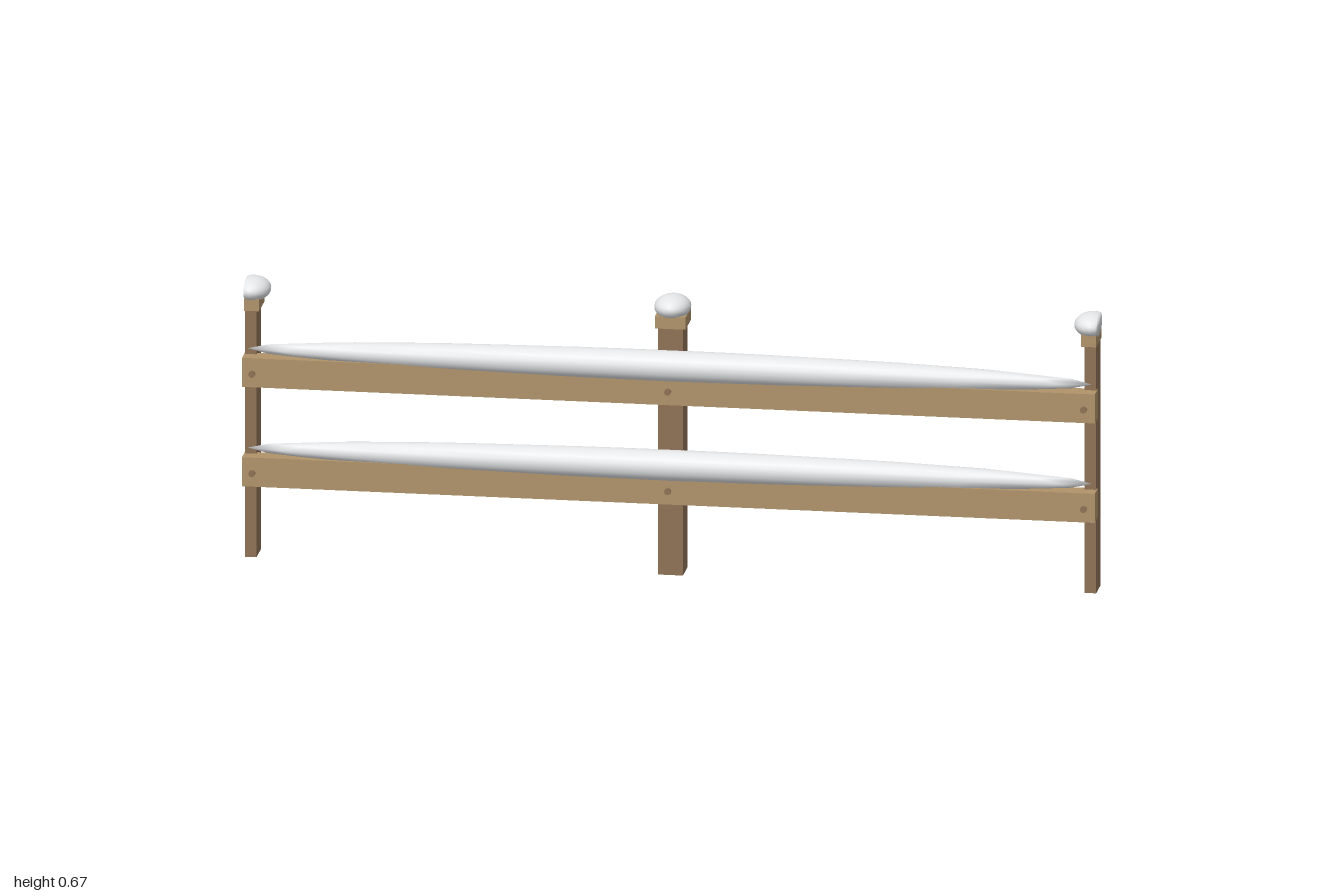
import * as THREE from 'three';

const colour = (name, hex) => {
  const m = new THREE.MeshStandardMaterial({ color: hex });
  m.name = name;
  return m;
};

export function createModel() {
  const model = new THREE.Group();
  model.name = 'snowyFence';
  const postWood = colour('post wood', 0x8f7155);
  const railWood = colour('rail wood', 0xb0936a);
  const snow = colour('snow', 0xe6e8ea);

  const add = (name, geometry, material) => {
    const mesh = new THREE.Mesh(geometry, material);
    mesh.name = name;
    model.add(mesh);
  };
  // Box given by its limits on each axis
  const block = (x0, x1, y0, y1, z0, z1) =>
    new THREE.BoxGeometry(x1 - x0, y1 - y0, z1 - z0)
      .translate((x0 + x1) / 2, (y0 + y1) / 2, (z0 + z1) / 2);
  // Snow mound, flattened where it meets the ends of the fence section
  const mound = (x, y, z, rx, ry, rz, across, up) => {
    const g = new THREE.SphereGeometry(1, across, up).scale(rx, ry, rz).translate(x, y, z);
    const p = g.attributes.position;
    for (let i = 0; i < p.count; i++) p.setX(i, THREE.MathUtils.clamp(p.getX(i), -1, 1));
    g.computeBoundingSphere();
    return g;
  };

  // Posts, with the two end posts cut in half at the section ends
  [['right', -1], ['middle', 0], ['left', 1]].forEach(([side, s]) => {
    const limits = (half, end) => [Math.max(s - half, -end), Math.min(s + half, end)];
    add(side + 'Post', block(...limits(0.029, 0.998), 0, 0.6, -0.048, 0.02), postWood);
    add(side + 'PostCap', block(...limits(0.036, 0.999), 0.596, 0.625, -0.055, 0.027), railWood);
    add(side + 'CapSnow', mound(s * 0.985, 0.64, -0.014, 0.043, 0.028, 0.054, 20, 12), snow);
  });

  // Rails with long drifts of snow and a bolt at each post
  [['lower', 0.18], ['upper', 0.42]].forEach(([level, y]) => {
    add(level + 'Rail', block(-1, 1, y, y + 0.07, 0.007, 0.054), railWood);
    add(level + 'RailSnow', mound(0, y + 0.087, 0.03, 0.99, 0.037, 0.04, 16, 10), snow);
    for (const x of [-0.975, 0, 0.975]) {
      const bolt = new THREE.CylinderGeometry(0.008, 0.008, 0.008, 8)
        .rotateX(Math.PI / 2).translate(x, y + 0.035, 0.0655);
      add(level + 'Bolt', bolt, postWood);
    }
  });
  return model;
}
